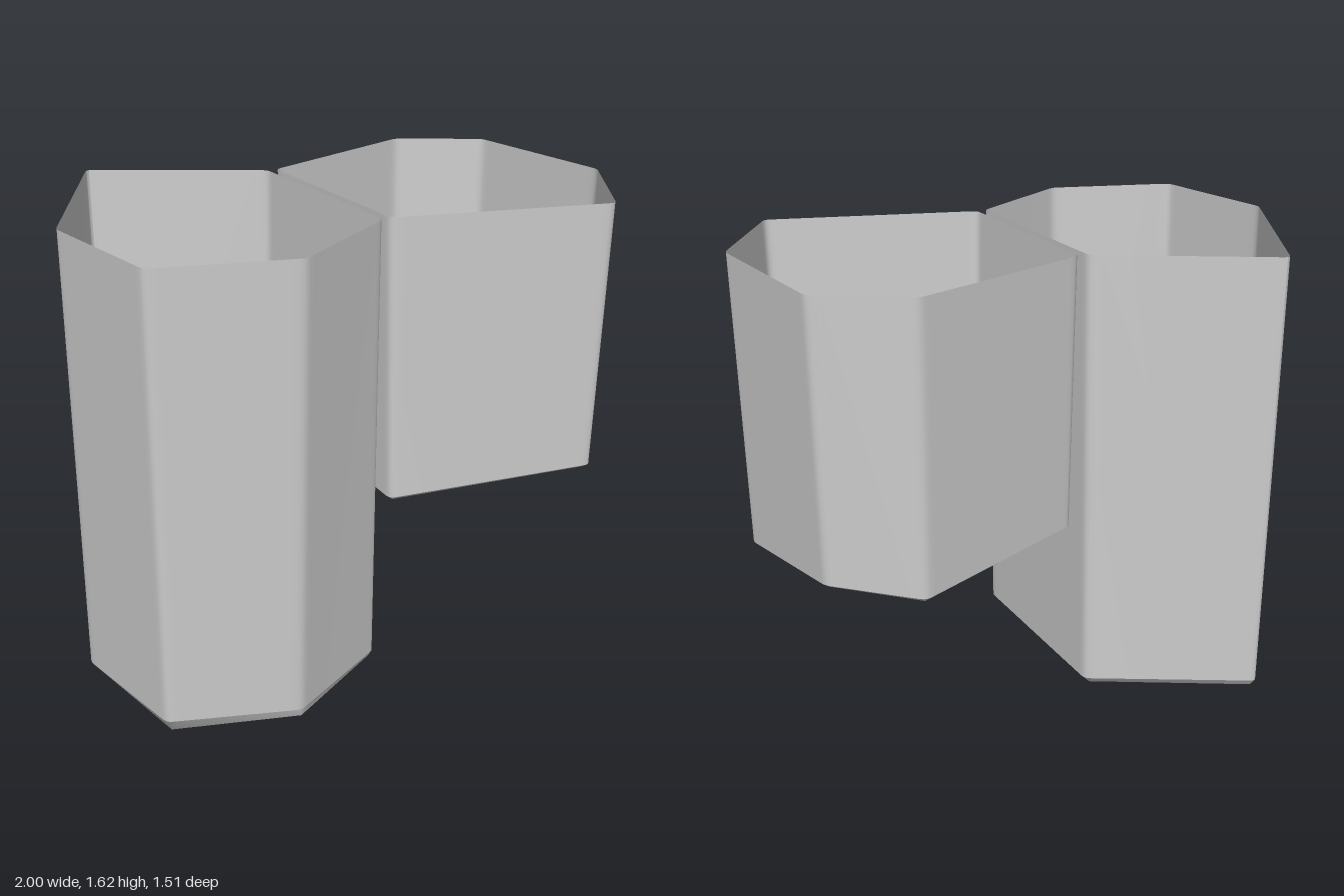
import * as THREE from 'three';
import { toCreasedNormals } from 'three/addons/utils/BufferGeometryUtils.js';

const grey = new THREE.MeshStandardMaterial({ color: 0xcccccc, side: THREE.DoubleSide });
grey.name = 'pale grey';

const HEIGHT = 1.615;
const V = (x, y, z) => new THREE.Vector3(x, y, z);

// Mesh from a list of triangles, smooth except over sharp edges
function meshOf(name, tris) {
  const pos = [];
  for (const [a, b, c] of tris) {
    const area = b.clone().sub(a).cross(c.clone().sub(a)).length();
    if (area > 1e-9) for (const p of [a, b, c]) pos.push(p.x, p.y, p.z);
  }
  const geo = new THREE.BufferGeometry();
  geo.setAttribute('position', new THREE.Float32BufferAttribute(pos, 3));
  const mesh = new THREE.Mesh(toCreasedNormals(geo, 0.6), grey);
  mesh.name = name;
  return mesh;
}

// Softens each corner of a loop into a tight curve; guard points keep the walls flat
function softened(loop, r) {
  const out = [];
  loop.forEach((p, i) => {
    const toward = (q, d) => p.clone().add(q.clone().sub(p).setLength(d));
    const prev = loop.at(i - 1), next = loop[(i + 1) % loop.length];
    const curve = new THREE.QuadraticBezierCurve3(toward(prev, r), p, toward(next, r));
    out.push(toward(prev, 2 * r), ...curve.getPoints(3), toward(next, 2 * r));
  });
  return out;
}

// Triangles joining an upper loop to a lower one
function strip(upper, lower) {
  const tris = [];
  upper.forEach((a, i) => {
    const j = (i + 1) % upper.length;
    tris.push([a, upper[j], lower[i]], [upper[j], lower[j], lower[i]]);
  });
  return tris;
}

// Open-topped tapered cell: walls, slanted lower edge and floor
function cell(name, top, rim, floor, floorTris) {
  const group = new THREE.Group();
  group.name = name;
  const softRim = softened(rim, 0.022);
  const floorRing = floor.flatMap((p) => Array(6).fill(p));
  group.add(
    meshOf('walls', strip(softened(top, 0.022), softRim)),
    meshOf('lowerBevel', strip(softRim, floorRing)),
    meshOf('floor', floorTris),
  );
  return group;
}

export function createModel() {
  const model = new THREE.Group();
  model.name = 'cellPair';

  // Tall cell with a flat floor
  const tallTop = [[-0.5, -0.765], [0.012, -0.35], [-0.11, 0.432], [-0.57, 0.625], [-1.003, 0.415], [-0.985, -0.12]]
    .map(([x, z]) => V(x, HEIGHT, z));
  const tallRim = [V(-0.495, 0.025, -0.735), V(0.003, 0.025, -0.35), V(-0.12, 0.02, 0.425),
    V(-0.565, 0.03, 0.575), V(-0.982, 0.06, 0.39), V(-0.965, 0.03, -0.13)];
  const tallFloor = [V(-0.49, 0, -0.71), V(-0.025, 0, -0.345), V(-0.14, 0, 0.42),
    V(-0.56, 0, 0.565), V(-0.945, 0, 0.36), V(-0.935, 0, -0.14)];
  const middle = V(-0.5, 0.005, -0.05);
  const fan = tallFloor.map((p, i) => [middle, p, tallFloor[(i + 1) % 6]]);
  model.add(cell('tallCell', tallTop, tallRim, tallFloor, fan));

  // Short cell with a folded floor
  const shortTop = [[0.045, -0.342], [0.74, -0.472], [1.003, -0.25], [0.96, 0.39], [0.632, 0.762], [-0.077, 0.432]]
    .map(([x, z]) => V(x, HEIGHT, z));
  const shortRim = [V(0.06, 0.65, -0.33), V(0.735, 0.61, -0.452), V(0.985, 0.65, -0.24),
    V(0.945, 0.565, 0.375), V(0.625, 0.65, 0.735), V(-0.055, 0.605, 0.425)];
  const centre = V(0.5, 0, 0.08);
  const shortFloor = shortRim.map((p) => {
    const q = p.clone().lerp(centre, 0.05);
    q.y = p.y - 0.018;
    return q;
  });
  // Crease points: lowest tip, fold end, fold top and side peak
  const [p0, p1, p2, p3, p4, p5] = shortFloor;
  const tip = V(0.31, 0.518, -0.025), end = V(0.55, 0.535, 0.08);
  const fold = V(0.365, 0.68, -0.105), peak = V(0.675, 0.65, -0.13);
  const folds = [
    [p0, fold, end], [p0, end, tip], [fold, peak, end],
    [p0, p1, peak], [p0, peak, fold], [p1, p2, peak],
    [peak, p2, p3], [peak, p3, end], [end, p3, p4],
    [end, p4, p5], [tip, end, p5], [p0, tip, p5],
  ];
  model.add(cell('shortCell', shortTop, shortRim, shortFloor, folds));

  return model;
}
